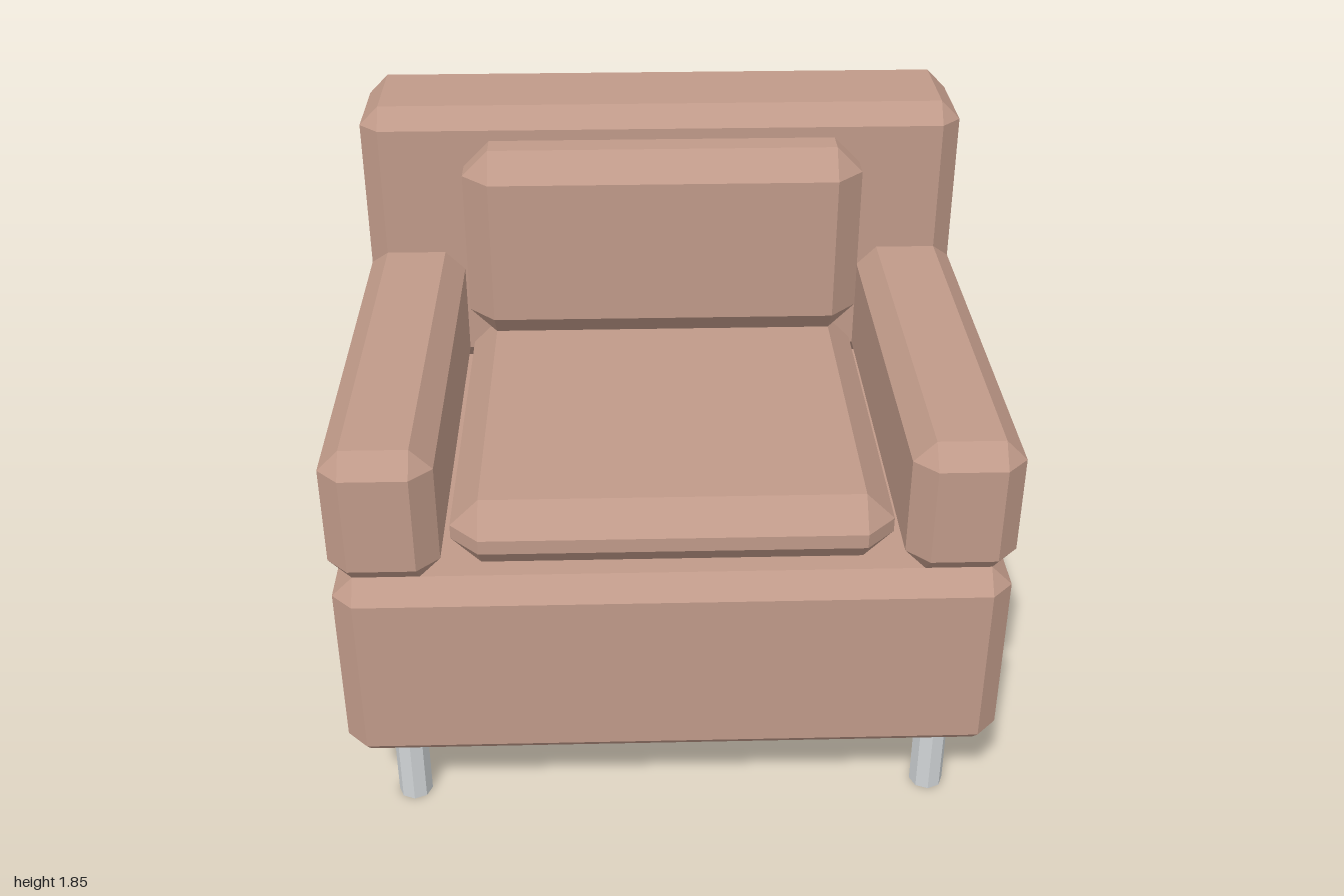
import * as THREE from 'three';
import { ConvexGeometry } from 'three/addons/geometries/ConvexGeometry.js';

const fabric = new THREE.MeshStandardMaterial({ color: 0xc09a89 });
fabric.name = 'dusty rose fabric';
const metal = new THREE.MeshStandardMaterial({ color: 0xd0d4d6 });
metal.name = 'light grey metal';

// Box with flat chamfers on all edges; the back end can stay square for a butt joint
function chamferBox(name, [x0, x1], [y0, y1], [z0, z1], bevel, squareBack = false) {
  const points = [];
  for (const [x, dx] of [[x0, bevel], [x1, -bevel]])
    for (const [y, dy] of [[y0, bevel], [y1, -bevel]])
      for (const [z, dz] of [[z0, bevel], [z1, -bevel]]) {
        const square = squareBack && z === z0;
        const inset = square ? 0 : dz;
        points.push(
          new THREE.Vector3(x, y + dy, z + inset),
          new THREE.Vector3(x + dx, y, z + inset)
        );
        if (!square) points.push(new THREE.Vector3(x + dx, y + dy, z));
      }
  const mesh = new THREE.Mesh(new ConvexGeometry(points), fabric);
  mesh.name = name;
  return mesh;
}

export function createModel() {
  const chair = new THREE.Group();
  chair.name = 'armchair';

  // Upholstered body
  chair.add(
    chamferBox('base', [-1, 1], [0.265, 0.918], [-0.89, 0.89], 0.064),
    chamferBox('backrest', [-1, 1], [0.918, 1.853], [-0.89, -0.455], 0.064),
    chamferBox('leftArm', [0.675, 1], [0.918, 1.352], [-0.519, 0.89], 0.064, true),
    chamferBox('rightArm', [-1, -0.675], [0.918, 1.352], [-0.519, 0.89], 0.064, true)
  );

  // Loose cushions
  chair.add(
    chamferBox('seatCushion', [-0.65, 0.65], [0.918, 1.135], [-0.455, 0.843], 0.086),
    chamferBox('backCushion', [-0.65, 0.65], [1.135, 1.787], [-0.455, -0.198], 0.086)
  );

  // Four metal legs
  const legGeometry = new THREE.CylinderGeometry(0.053, 0.053, 0.27, 8).toNonIndexed();
  legGeometry.computeVertexNormals();
  for (const [side, x] of [['Left', 0.827], ['Right', -0.827]])
    for (const [end, z] of [['front', 0.718], ['back', -0.718]]) {
      const leg = new THREE.Mesh(legGeometry, metal);
      leg.name = `${end}${side}Leg`;
      leg.position.set(x, 0.135, z);
      chair.add(leg);
    }

  return chair;
}
